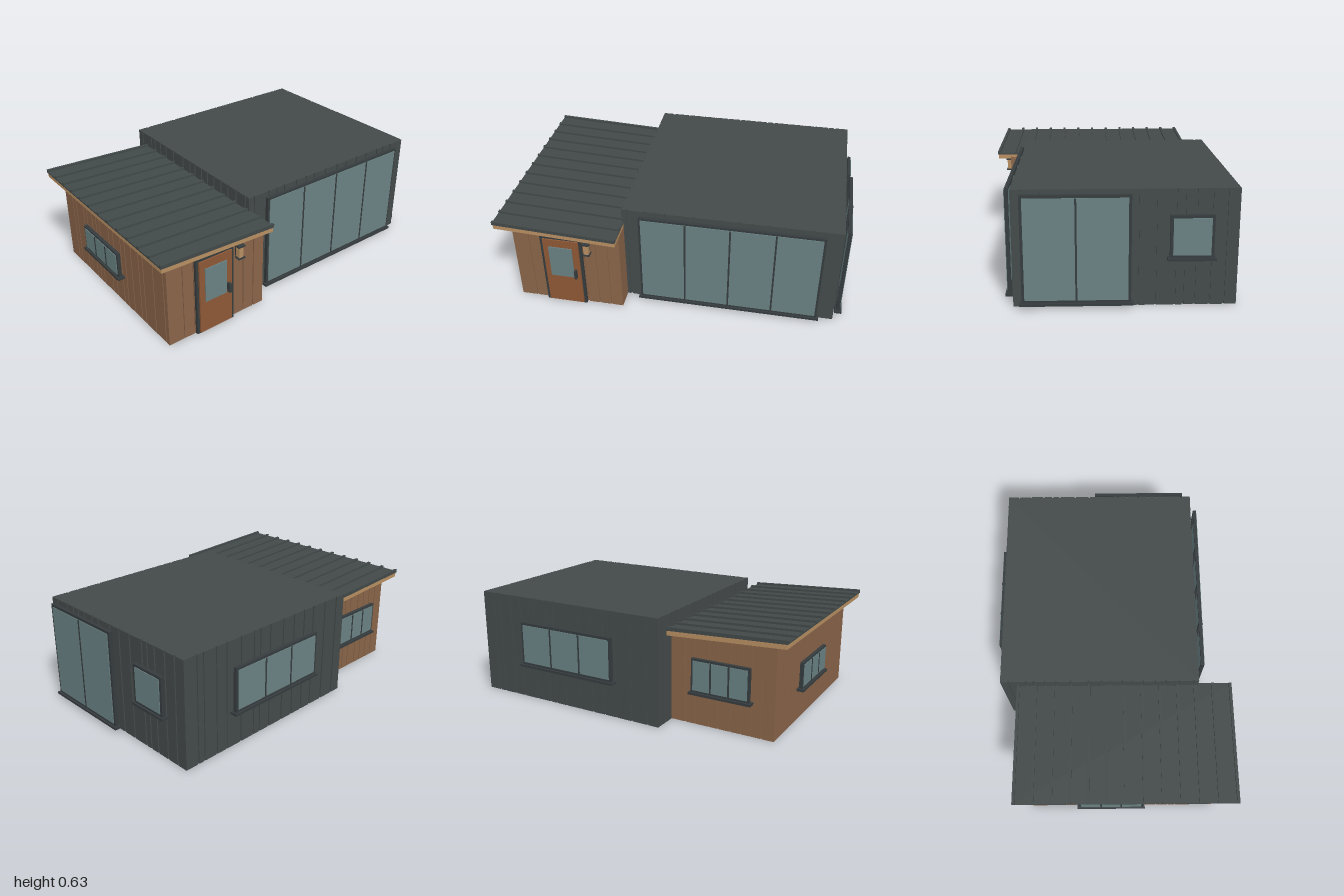
import * as THREE from 'three';

const mat = (name, color) => {
  const m = new THREE.MeshStandardMaterial({ color });
  m.name = name;
  return m;
};

export function createModel() {
  const M = {
    cladding: mat('charcoal cladding', 0x444a4a),
    roof: mat('roof metal', 0x424949),
    trim: mat('dark trim', 0x363c3e),
    glass: mat('glass', 0x6a8284),
    wood: mat('wood cladding', 0x8a6549),
    tan: mat('pale timber', 0xb88f62),
    door: mat('door wood', 0x8f5937),
  };
  const house = new THREE.Group();
  house.name = 'house';

  let seed = 7;
  const rand = () => (seed = (seed * 16807) % 2147483647) / 2147483647;

  // Box given by its min and max corners
  function box(parent, name, m, x0, x1, y0, y1, z0, z1) {
    const mesh = new THREE.Mesh(new THREE.BoxGeometry(x1 - x0, y1 - y0, z1 - z0), m);
    mesh.position.set((x0 + x1) / 2, (y0 + y1) / 2, (z0 + z1) / 2);
    mesh.name = name;
    parent.add(mesh);
    return mesh;
  }

  // Local frame on a wall: x along the wall, z outward
  const TURN = { front: 0, right: Math.PI / 2, back: Math.PI, left: -Math.PI / 2 };
  function onWall(name, side, x, z) {
    const g = new THREE.Group();
    g.name = name;
    g.position.set(x, 0, z);
    g.rotation.y = TURN[side];
    house.add(g);
    return g;
  }

  // Vertical boards of uneven width with narrow grooves between
  const T = 0.007;
  function boards(name, side, x, z, width, m, height, gap) {
    const g = onWall(name, side, x, z);
    for (let p = -width / 2; p < width / 2 - 0.001;) {
      let end = p + 0.03 + rand() * 0.07;
      if (end > width / 2 - 0.03) end = width / 2;
      box(g, 'board', m, p, end, 0, height((p + end) / 2), -T - 0.001, 0);
      p = end + gap;
    }
  }

  // Framed window with sill and equal panes
  function windowUnit(name, side, x, z, width, y0, y1, panes, bar = 0.015) {
    const g = onWall(name, side, x, z);
    const w = width / 2;
    box(g, 'frameTop', M.trim, -w, w, y1 - bar, y1, 0.018, 0.038);
    box(g, 'frameBottom', M.trim, -w, w, y0, y0 + bar, 0.018, 0.038);
    for (const s of [-1, 1]) {
      const c = s * (w - bar / 2);
      box(g, 'frameSide', M.trim, c - bar / 2, c + bar / 2, y0 + bar, y1 - bar, 0.018, 0.038);
    }
    box(g, 'pane', M.glass, -w + bar, w - bar, y0 + bar, y1 - bar, 0.034, 0.042);
    for (let i = 1; i < panes; i++) {
      const c = -w + bar + (i * (width - 2 * bar)) / panes;
      box(g, 'mullion', M.trim, c - 0.005, c + 0.005, y0 + bar, y1 - bar, 0.018, 0.044);
    }
    box(g, 'sill', M.trim, -w - 0.012, w + 0.012, y0 - 0.014, y0, 0.008, 0.05);
  }

  // Main block
  const X0 = -0.3, X1 = 0.95, Z0 = -0.66, Z1 = 0.505, H = 0.63;
  const mx = (X0 + X1) / 2, mz = (Z0 + Z1) / 2;
  box(house, 'mainBlock', M.cladding, X0 + T, X1 - T, 0, H, Z0 + T, Z1 - T);
  const full = () => H;
  boards('mainFrontBoards', 'front', mx, Z1, X1 - X0, M.cladding, full, 0.01);
  boards('mainBackBoards', 'back', mx, Z0, X1 - X0, M.cladding, full, 0.01);
  boards('mainRightBoards', 'right', X1, mz, Z1 - Z0, M.cladding, full, 0.01);
  boards('mainLeftBoards', 'left', X0, mz, Z1 - Z0, M.cladding, full, 0.01);
  windowUnit('frontGlazing', 'front', 0.33, Z1, 1.05, 0.033, 0.61, 4, 0.013);
  windowUnit('sideGlazing', 'right', X1, 0.176, 0.565, 0.033, 0.61, 2, 0.015);
  windowUnit('sideWindow', 'right', X1, -0.415, 0.225, 0.273, 0.5, 1, 0.015);
  windowUnit('backWindow', 'back', 0.308, Z0, 0.645, 0.224, 0.486, 3);

  // Annex body and roof layers: slices in xy that follow the slope, extruded along z
  function sloped(name, m, x0, x1, bottom, top, z0, z1) {
    const s = new THREE.Shape();
    s.moveTo(x0, bottom(x0));
    s.lineTo(x1, bottom(x1));
    s.lineTo(x1, top(x1));
    s.lineTo(x0, top(x0));
    const mesh = new THREE.Mesh(
      new THREE.ExtrudeGeometry(s, { depth: z1 - z0, bevelEnabled: false }), m);
    mesh.position.z = z0;
    mesh.name = name;
    house.add(mesh);
  }
  const slope = (y) => (x) => y - (x + 1) * 0.045;
  const A0 = -0.925, A1 = -0.29, B0 = -0.51, B1 = 0.62;
  const ax = (A0 + A1) / 2, az = (B0 + B1) / 2;
  sloped('annexBody', M.wood, A0 + T, A1 - T, () => 0, slope(0.555), B0 + T, B1 - T);
  boards('annexFrontBoards', 'front', ax, B1, A1 - A0, M.wood, (p) => slope(0.555)(ax + p), 0.006);
  boards('annexBackBoards', 'back', ax, B0, A1 - A0, M.wood, (p) => slope(0.555)(ax - p), 0.006);
  boards('annexLeftBoards', 'left', A0, az, B1 - B0, M.wood, () => 0.55, 0.006);
  box(house, 'annexReturn', M.wood, A1 - 0.012, A1, 0, 0.52, Z1 - 0.02, B1);
  sloped('roofTimber', M.tan, -0.995, A1, slope(0.543), slope(0.572), -0.565, 0.7);
  sloped('roofSheet', M.roof, -1, A1 + 0.002, slope(0.571), slope(0.58), -0.57, 0.705);
  const RIBS = 13;
  for (let i = 0; i < RIBS; i++) {
    const z = -0.57 + (i * (1.275 - 0.016)) / (RIBS - 1);
    sloped('roofRib', M.roof, -1, A1 + 0.002, slope(0.579), slope(0.592), z, z + 0.016);
  }
  windowUnit('annexBackWindow', 'back', -0.617, B0, 0.35, 0.205, 0.4, 3, 0.012);
  windowUnit('annexLeftWindow', 'left', A0, -0.015, 0.385, 0.207, 0.36, 3, 0.012);

  // Front door
  const d = onWall('frontDoor', 'front', 0, B1);
  box(d, 'doorFrameLeft', M.trim, -0.525, -0.51, 0, 0.48, -0.003, 0.018);
  box(d, 'doorFrameRight', M.trim, -0.755, -0.74, 0, 0.48, -0.003, 0.018);
  box(d, 'doorFrameTop', M.trim, -0.74, -0.525, 0.465, 0.48, -0.003, 0.018);
  box(d, 'threshold', M.trim, -0.74, -0.525, 0, 0.008, -0.003, 0.018);
  box(d, 'doorLeaf', M.door, -0.738, -0.527, 0.008, 0.465, 0, 0.026);
  box(d, 'doorGlass', M.glass, -0.705, -0.565, 0.205, 0.415, 0.025, 0.032);
  box(d, 'doorHandle', M.trim, -0.56, -0.546, 0.207, 0.265, 0.025, 0.048);

  // Wall lantern beside the door
  const l = onWall('wallLantern', 'front', -0.475, B1);
  box(l, 'lanternBack', M.trim, -0.012, 0.012, 0.4, 0.468, -0.002, 0.014);
  box(l, 'lanternCap', M.trim, -0.021, 0.021, 0.465, 0.475, 0.01, 0.048);
  box(l, 'lanternBody', M.tan, -0.014, 0.014, 0.4, 0.466, 0.013, 0.042);
  box(l, 'lanternBase', M.trim, -0.021, 0.021, 0.392, 0.4, 0.01, 0.048);

  return house;
}
